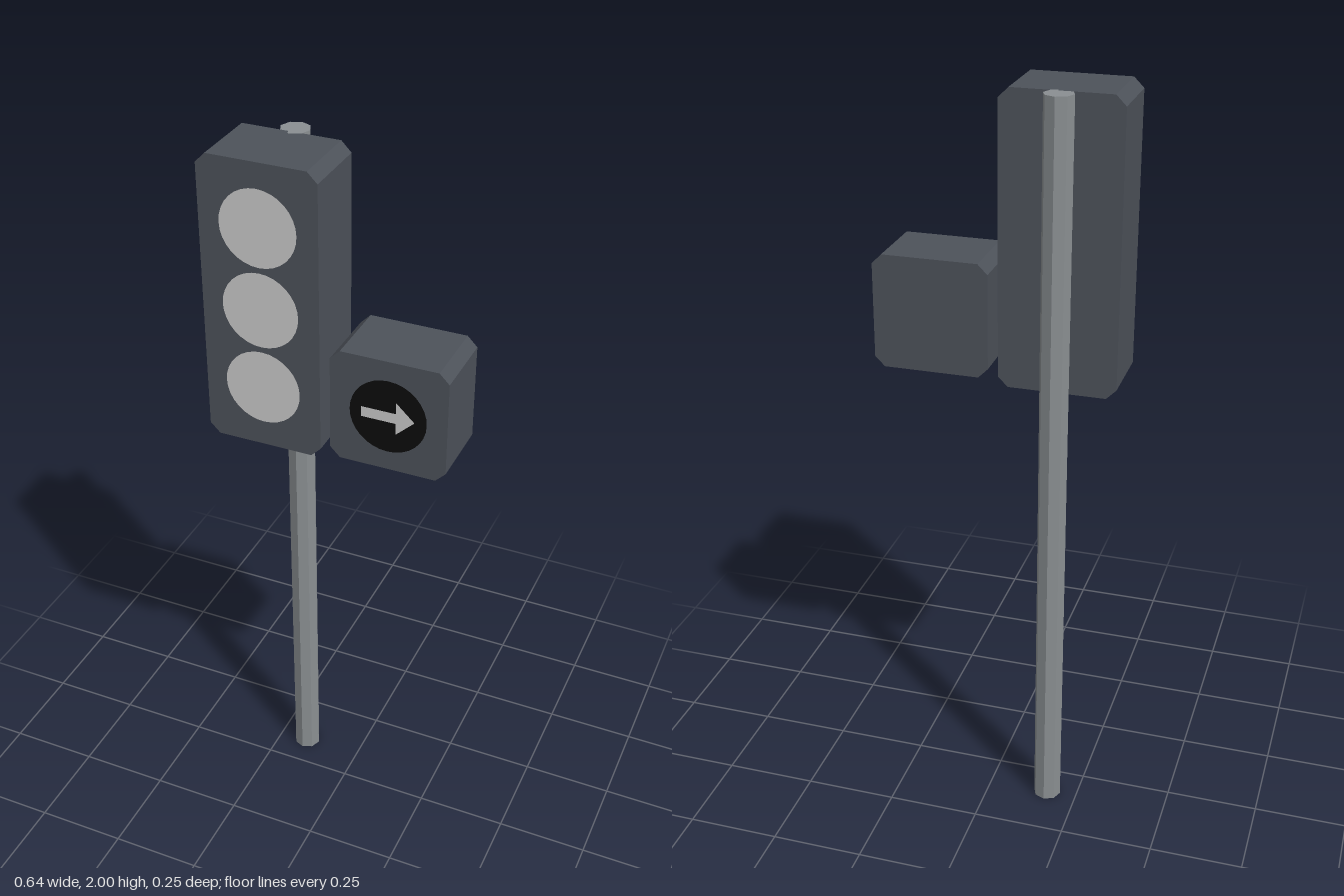
import * as THREE from 'three';

const mat = (color) => new THREE.MeshStandardMaterial({ color, flatShading: true });
const HOUSING = mat(0x4d525a), POLE = mat(0x8a8f92), LAMP = mat(0xcccccc), BLACK = mat(0x0c0c0c);
const BACK = -0.068, FRONT = 0.122;

function add(group, name, geometry, material, x, y, z) {
  const mesh = new THREE.Mesh(geometry, material);
  mesh.name = name;
  mesh.position.set(x, y, z);
  group.add(mesh);
  return mesh;
}

// Box with its four front-to-back edges cut off
function housing(w, h, c = 0.026) {
  const a = w / 2, b = h / 2;
  const corners = [[a, b - c], [a - c, b], [c - a, b], [-a, b - c], [-a, c - b], [c - a, -b], [a - c, -b], [a, c - b]];
  const shape = new THREE.Shape(corners.map(([x, y]) => new THREE.Vector2(x, y)));
  return new THREE.ExtrudeGeometry(shape, { depth: FRONT - BACK, bevelEnabled: false });
}

// Flat arrow pointing to +x, centred on its length
function arrow() {
  const l = 0.069, neck = 0.021, s = 0.014, h = 0.045;
  const outline = [[-l, -s], [neck, -s], [neck, -h], [l, 0], [neck, h], [neck, s], [-l, s]];
  return new THREE.ShapeGeometry(new THREE.Shape(outline.map(([x, y]) => new THREE.Vector2(x, y))));
}

export function createModel() {
  const group = new THREE.Group();
  const mainX = -0.166, sideX = 0.167, arrowY = 1.408;

  // Octagonal pole behind the main housing
  add(group, 'pole', new THREE.CylinderGeometry(0.038, 0.038, 2, 8), POLE, mainX, 1, -0.092);

  // Housings
  add(group, 'mainHousing', housing(0.308, 0.76), HOUSING, mainX, 1.62, BACK);
  add(group, 'sideHousing', housing(0.305, 0.304), HOUSING, sideX, arrowY, BACK);

  // Round lamps
  const disc = new THREE.CircleGeometry(0.1, 32);
  [['topLamp', 1.836], ['middleLamp', 1.622], ['bottomLamp', arrowY]].forEach(([name, y]) =>
    add(group, name, disc, LAMP, mainX, y, FRONT + 0.001));
  add(group, 'sideLamp', disc, BLACK, sideX, arrowY, FRONT + 0.001);

  // Arrows: up and sideways on the bottom lamp, one on the side lamp
  add(group, 'upArrow', arrow(), LAMP, mainX, arrowY + 0.002, FRONT + 0.0022).rotation.z = Math.PI / 2;
  add(group, 'sidewaysArrow', arrow(), LAMP, mainX - 0.005, arrowY, FRONT + 0.002).rotation.z = Math.PI;
  add(group, 'sideArrow', arrow(), LAMP, sideX, arrowY, FRONT + 0.002);
  return group;
}
